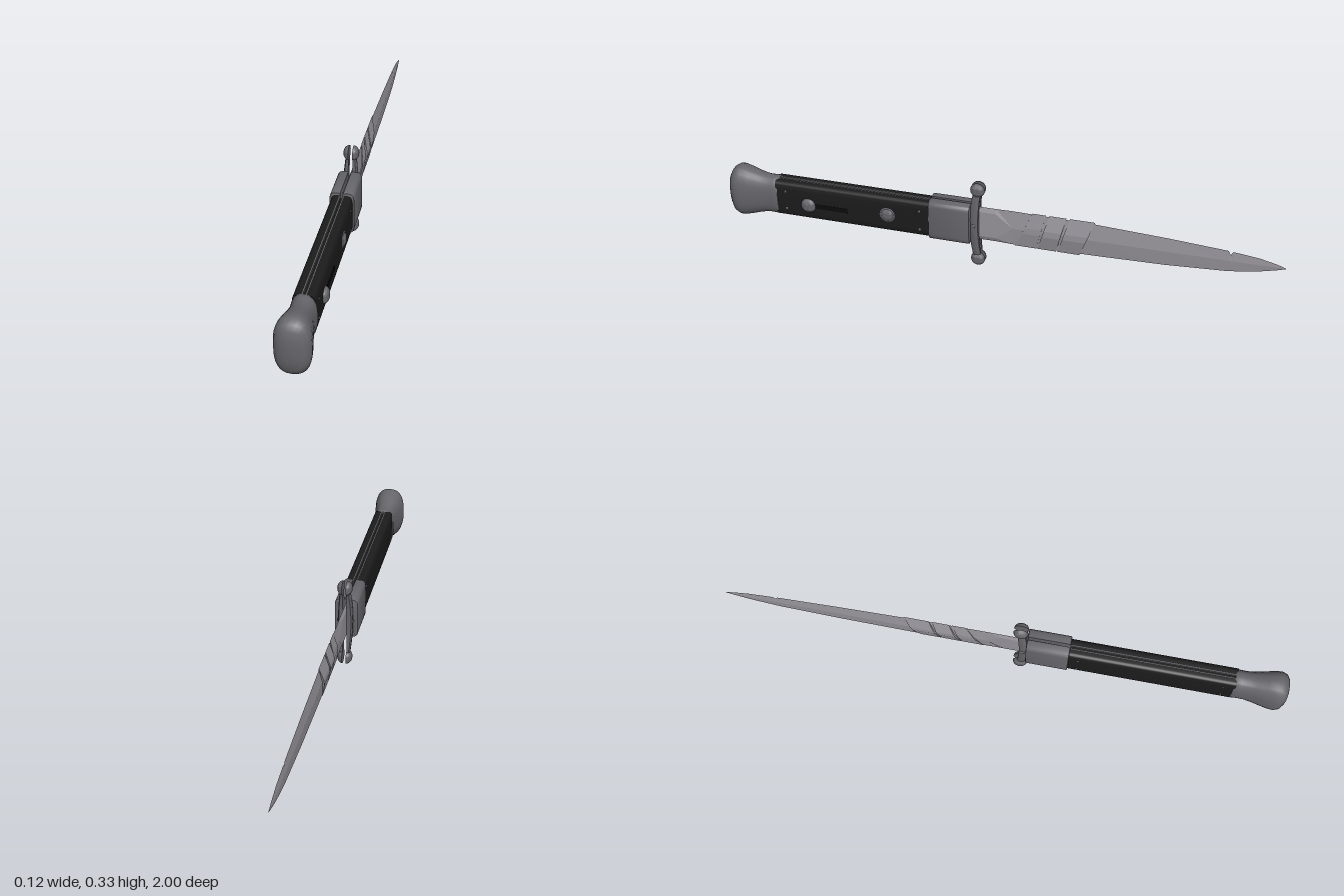
import * as THREE from 'three';
import { toCreasedNormals } from 'three/addons/utils/BufferGeometryUtils.js';

const MID = 0.17;

// Skin closed rings of points; rings run along their own counter-clockwise axis
function loft(rings, flat) {
  const n = rings[0].length, index = [];
  for (let i = 0; i < rings.length - 1; i++) {
    for (let j = 0; j < n; j++) {
      const k = (j + 1) % n, a = i * n + j, b = i * n + k;
      index.push(a, b, b + n, a, b + n, a + n);
    }
  }
  const g = new THREE.BufferGeometry();
  g.setAttribute('position', new THREE.Float32BufferAttribute(rings.flat(2), 3));
  g.setIndex(index);
  if (!flat) return toCreasedNormals(g, 0.7);
  const f = g.toNonIndexed();
  f.computeVertexNormals();
  return f;
}

// Blade section: a ridged lens whose z may slant between its bottom and top edges
function bladeRing(zTop, zBot, top, bot, hx, f) {
  return [[hx, MID - f], [hx, MID + f], [0, top], [-hx, MID + f], [-hx, MID - f], [0, bot]]
    .map(([x, y]) => [x, y, zBot + (zTop - zBot) * (y - 0.1) / 0.14]);
}

// Half of the handle section on side s, rounded on the outside, extruded along z
function halfGrip(s, inner, outer, yLow, yHigh, r, z0, z1, bevel) {
  const b = bevel, sh = new THREE.Shape();
  const i = inner + b, o = outer - b, lo = yLow + b, hi = yHigh - b;
  sh.moveTo(s * i, lo);
  sh.lineTo(s * (o - r), lo);
  sh.quadraticCurveTo(s * o, lo, s * o, lo + r * 1.6);
  sh.lineTo(s * o, hi - r * 1.6);
  sh.quadraticCurveTo(s * o, hi, s * (o - r), hi);
  sh.lineTo(s * i, hi);
  sh.closePath();
  const g = new THREE.ExtrudeGeometry(sh, {
    depth: z1 - z0 - 2 * b, curveSegments: 6, bevelEnabled: b > 0,
    bevelThickness: b, bevelSize: b, bevelSegments: 2,
  });
  g.translate(0, 0, z0 + b);
  return toCreasedNormals(g, 0.6);
}

// Dome with a flat base, pointing out along x on side s
function dome(s, r, h) {
  const pts = [new THREE.Vector2(0, 0)];
  for (let i = 0; i <= 8; i++) {
    const a = i / 8 * Math.PI / 2;
    pts.push(new THREE.Vector2(i === 8 ? 0 : r * Math.cos(a), h * Math.sin(a)));
  }
  const g = new THREE.LatheGeometry(pts, 18);
  g.rotateZ(-s * Math.PI / 2);
  return toCreasedNormals(g, 0.7);
}

export function createModel() {
  const mat = (name, color) => {
    const m = new THREE.MeshStandardMaterial({ color });
    m.name = name;
    return m;
  };
  const metal = mat('gunmetal', 0x66666b);
  const steel = mat('blade steel', 0x98959c);
  const black = mat('black grip', 0x1c1c1c);
  const dark = mat('recess black', 0x0c0c0c);

  const model = new THREE.Group();
  model.name = 'foldingKnife';
  const add = (name, geo, m, x = 0, y = 0, z = 0) => {
    const mesh = new THREE.Mesh(geo, m);
    mesh.name = name;
    mesh.position.set(x, y, z);
    model.add(mesh);
    return mesh;
  };

  // Blade: z, top, bottom, half thickness, half height of the flat; small nick near the tip
  const bladeRows = [
    [-1, 0.171, 0.169, 0, 0], [-0.97, 0.182, 0.159, 0.0012, 0], [-0.91, 0.196, 0.143, 0.0022, 0],
    [-0.822, 0.206, 0.128, 0.003, 0], [-0.815, 0.192, 0.127, 0.003, 0], [-0.806, 0.208, 0.126, 0.003, 0],
    [-0.6, 0.222, 0.113, 0.0045, 0], [-0.35, 0.234, 0.106, 0.006, 0], [-0.06, 0.239, 0.102, 0.006, 0.002],
    [0, 0.238, 0.104, 0.006, 0.05], [0.2, 0.238, 0.104, 0.006, 0.05], [0.2, 0.17, 0.17, 0, 0],
  ];
  add('blade', loft(bladeRows.map(([z, t, b, h, f]) => bladeRing(z, z, t, b, h, f)), true), steel);

  // Slanted raised bands around the blade: top z range, bottom z range, thickness
  const bands = [
    [-0.35, -0.262, -0.3, -0.222, 0.012],
    [-0.25, -0.19, -0.217, -0.15, 0.0125],
    [-0.178, -0.13, -0.146, -0.07, 0.0085],
  ];
  for (const [t0, t1, b0, b1, h] of bands) {
    add('bladeBand', loft([
      bladeRing(t0, b0, MID, MID, 0, 0), bladeRing(t0, b0, 0.241, 0.099, h, 0.012),
      bladeRing(t1, b1, 0.241, 0.099, h, 0.012), bladeRing(t1, b1, MID, MID, 0, 0),
    ], true), steel);
  }

  // Pommel: superellipse rings flaring towards a blunt end
  const pommelRows = [
    [0.808, 0, 0], [0.808, 0.04, 0.072], [0.814, 0.042, 0.075], [0.83, 0.041, 0.074], [0.855, 0.041, 0.074],
    [0.885, 0.045, 0.081], [0.92, 0.052, 0.092], [0.95, 0.057, 0.0995], [0.965, 0.058, 0.0985],
    [0.982, 0.053, 0.088], [0.993, 0.04, 0.068], [0.998, 0.022, 0.038], [1, 0, 0],
  ];
  const power = (v) => Math.sign(v) * Math.abs(v) ** 0.78;
  add('pommel', loft(pommelRows.map(([z, hx, hy]) => Array.from({ length: 28 }, (_, j) => {
    const a = j / 28 * Math.PI * 2;
    return [hx * power(Math.cos(a)), MID - 0.002 + hy * power(Math.sin(a)), z];
  }))), metal);

  // Inset spine between the two halves of the handle
  add('spine', new THREE.BoxGeometry(0.014, 0.118, 0.575), black, 0, MID, 0.525);

  for (const s of [1, -1]) {
    const side = s > 0 ? 'left' : 'right';
    add(side + 'Liner', new THREE.BoxGeometry(0.004, 0.138, 0.58), metal, s * 0.006, MID, 0.525);
    add(side + 'GripScale', halfGrip(s, 0.008, 0.036, 0.101, 0.239, 0.016, 0.23, 0.815, 0), black);
    add(side + 'Bolster', halfGrip(s, 0.005, 0.042, 0.096, 0.249, 0.014, 0.087, 0.237, 0.004), metal);

    // Half of the cross guard: a bowed bar with a domed knob at each end
    const rings = [];
    for (let i = 0; i <= 12; i++) {
      const t = i / 6 - 1, bow = 1 - t * t;
      const z = 0.064 + 0.012 * bow, hz = 0.013 + 0.002 * bow;
      const xi = 0.007, xo = 0.016 + 0.01 * bow;
      const ring = [[xi, hz], [xo - 0.004, hz], [xo, hz * 0.5], [xo, -hz * 0.5], [xo - 0.004, -hz], [xi, -hz]]
        .map(([x, dz]) => [s * x, 0.168 + t * 0.14, z + dz]);
      rings.push(s > 0 ? ring : ring.reverse());
    }
    add(side + 'GuardBar', loft(rings), metal);
    for (const y of [0.026, 0.309]) {
      add(side + 'GuardKnob', dome(s, 0.026, 0.02), metal, s * 0.007, y, 0.064);
    }
    add(side + 'GuardPin', dome(s, 0.007, 0.005), metal, s * 0.025, MID, 0.076);

    // Rivets in the grip scales
    for (const [y, z] of [[0.205, 0.775], [0.135, 0.775], [0.205, 0.27], [0.13, 0.27]]) {
      add(side + 'Rivet', dome(s, 0.005, 0.004), metal, s * 0.0355, y, z);
    }
  }

  // Release button and sliding catch on the left face, with the catch's slot
  add('releaseCollar', dome(1, 0.029, 0.004), metal, 0.0355, 0.17, 0.39);
  add('releaseButton', dome(1, 0.024, 0.01), metal, 0.0355, 0.17, 0.39);
  add('catchSlot', new THREE.BoxGeometry(0.002, 0.018, 0.14), dark, 0.0362, 0.16, 0.61);
  add('catchButton', dome(1, 0.028, 0.017), metal, 0.0355, 0.16, 0.69);

  return model;
}
